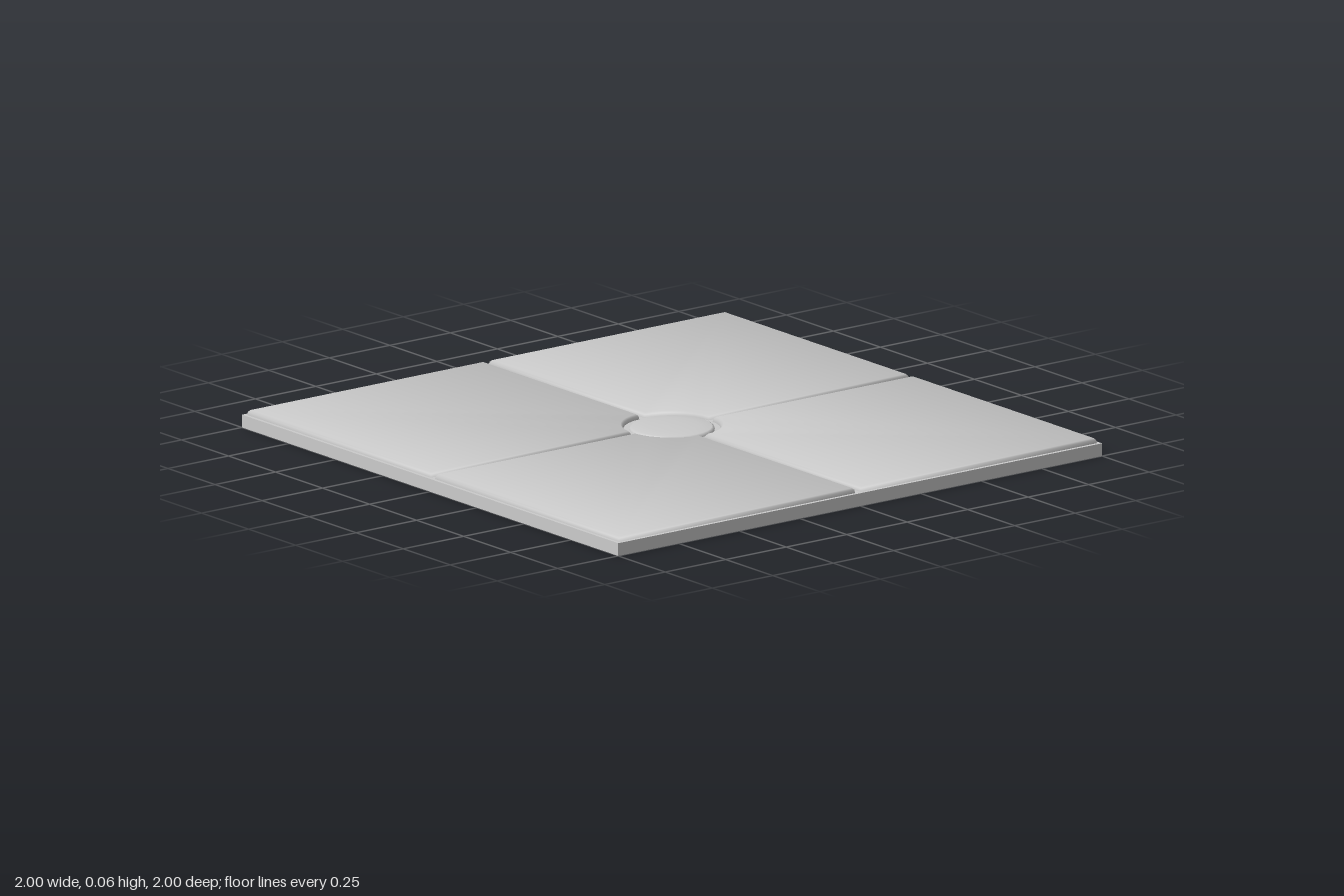
import * as THREE from 'three';

const LEDGE = 0.043, TOP = 0.06;

// Outline of one quarter panel in x/z, starting at its outer corner.
// d insets the whole outline.
function panelOutline(d) {
  const inner = 0.011 + d, outer = 0.988 - d, r = 0.16 + d, steps = 8;
  const pts = [new THREE.Vector2(outer, outer), new THREE.Vector2(inner, outer)];
  const start = Math.acos(inner / r), end = Math.asin(inner / r);
  for (let i = 0; i <= steps; i++) {
    const t = THREE.MathUtils.lerp(start, end, i / steps);
    pts.push(new THREE.Vector2(r * Math.cos(t), r * Math.sin(t)));
  }
  pts.push(new THREE.Vector2(outer, inner));
  return pts;
}

// Raised panel: bevelled sides in rings, closed by a fan from the outer corner
function panelGeometry() {
  const rings = [[0, LEDGE], [0.002, 0.054], [0.008, TOP]];
  const tilt = [0.3, 0.8, 2.5]; // upward share of the softened normals
  const base = panelOutline(0), inset = panelOutline(0.008);
  const n = base.length, pos = [], nor = [], idx = [];
  rings.forEach(([d, y], k) => panelOutline(d).forEach((p, i) => {
    pos.push(p.x, y, p.y);
    const out = base[i].clone().sub(inset[i]).normalize();
    const v = new THREE.Vector3(out.x, tilt[k], out.y).normalize();
    nor.push(v.x, v.y, v.z);
  }));
  for (let k = 0; k < rings.length - 1; k++) {
    for (let i = 0; i < n; i++) {
      const j = (i + 1) % n, a = k * n, b = a + n;
      idx.push(b + i, b + j, a + j, b + i, a + j, a + i);
    }
  }
  const t = (rings.length - 1) * n;
  for (let i = 1; i < n - 1; i++) idx.push(t, t + i + 1, t + i);
  const g = new THREE.BufferGeometry();
  g.setAttribute('position', new THREE.Float32BufferAttribute(pos, 3));
  g.setAttribute('normal', new THREE.Float32BufferAttribute(nor, 3));
  g.setIndex(idx);
  return g;
}

export function createModel() {
  const group = new THREE.Group();
  const material = new THREE.MeshStandardMaterial({ color: 0xcccccc, side: THREE.DoubleSide });
  const add = (name, geometry) => {
    const mesh = new THREE.Mesh(geometry, material);
    mesh.name = name;
    group.add(mesh);
    return mesh;
  };

  // Groove floor, open under each panel and the centre disc
  const floor = new THREE.Shape([[-1, -1], [1, -1], [1, 1], [-1, 1]].map(p => new THREE.Vector2(...p)));
  const origin = new THREE.Vector2();
  for (let q = 0; q < 4; q++) {
    floor.holes.push(new THREE.Path(panelOutline(0).map(p => p.rotateAround(origin, q * Math.PI / 2))));
  }
  floor.holes.push(new THREE.Path().absarc(0, 0, 0.14, 0, Math.PI * 2, true));
  add('grooveFloor', new THREE.ShapeGeometry(floor, 16).rotateX(-Math.PI / 2).translate(0, LEDGE, 0));

  // Thin outer walls and quarter panels, repeated around the centre
  const wall = new THREE.PlaneGeometry(2, LEDGE).translate(0, LEDGE / 2, 1);
  const panel = panelGeometry();
  for (let q = 0; q < 4; q++) {
    add('sideWall', wall).rotation.y = q * Math.PI / 2;
    add('quarterPanel', panel).rotation.y = q * Math.PI / 2;
  }

  // Softly domed centre disc
  const profile = [[0.14, LEDGE], [0.138, 0.05], [0.131, 0.054], [0.09, 0.0575], [0.045, 0.0595], [0, TOP]];
  add('centreDisc', new THREE.LatheGeometry(profile.map(p => new THREE.Vector2(...p)), 32));

  return group;
}
